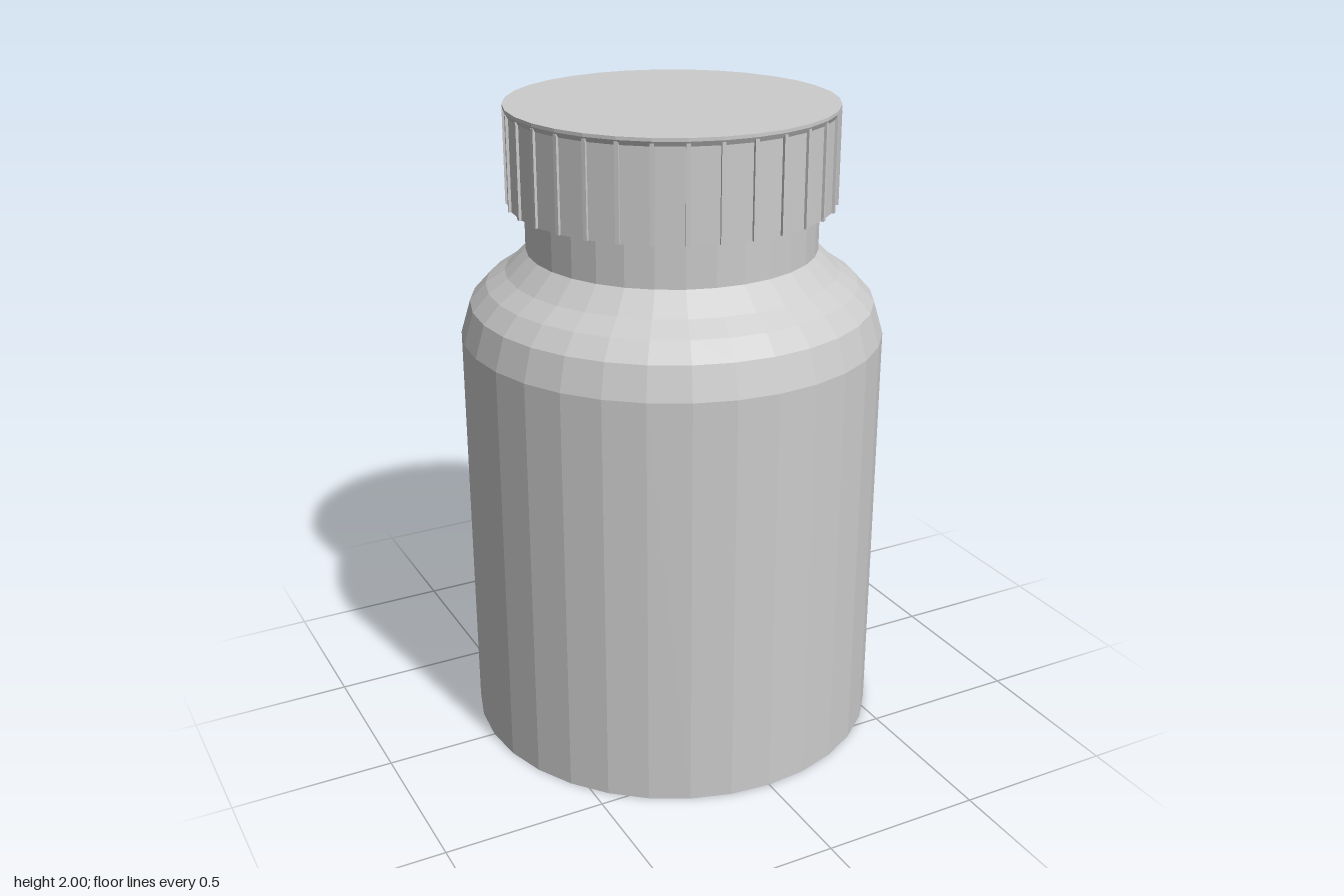
import * as THREE from 'three';

const SIDES = 32;
const material = new THREE.MeshStandardMaterial({ color: 0xcccccc, flatShading: true });

// Faceted solid of revolution from [radius, height] pairs, listed bottom to top
function turned(name, profile) {
  const points = profile.map(([r, y]) => new THREE.Vector2(r, y));
  const mesh = new THREE.Mesh(new THREE.LatheGeometry(points, SIDES), material);
  mesh.name = name;
  return mesh;
}

export function createModel() {
  const model = new THREE.Group();
  model.name = 'bottle';

  // Body with closed base, rounded shoulder and neck
  model.add(turned('body', [
    [0, 0], [0.65, 0], [0.65, 1.3], [0.62, 1.4], [0.57, 1.455],
    [0.51, 1.495], [0.445, 1.56], [0.445, 1.72],
  ]));

  // Screw cap: slightly recessed wall below a thin top lip
  const cap = new THREE.Group();
  cap.name = 'cap';
  cap.add(turned('capShell', [
    [0, 1.7], [0.492, 1.7], [0.492, 1.975], [0.5, 1.99], [0.5, 2], [0, 2],
  ]));

  // Grip ribs around the wall
  const ribGeometry = new THREE.BoxGeometry(0.012, 0.285, 0.02);
  for (let i = 0; i < SIDES; i++) {
    const angle = (i / SIDES) * Math.PI * 2;
    const rib = new THREE.Mesh(ribGeometry, material);
    rib.name = 'gripRib';
    rib.position.set(Math.sin(angle) * 0.49, 1.8425, Math.cos(angle) * 0.49);
    rib.rotation.y = angle;
    cap.add(rib);
  }
  model.add(cap);

  return model;
}
